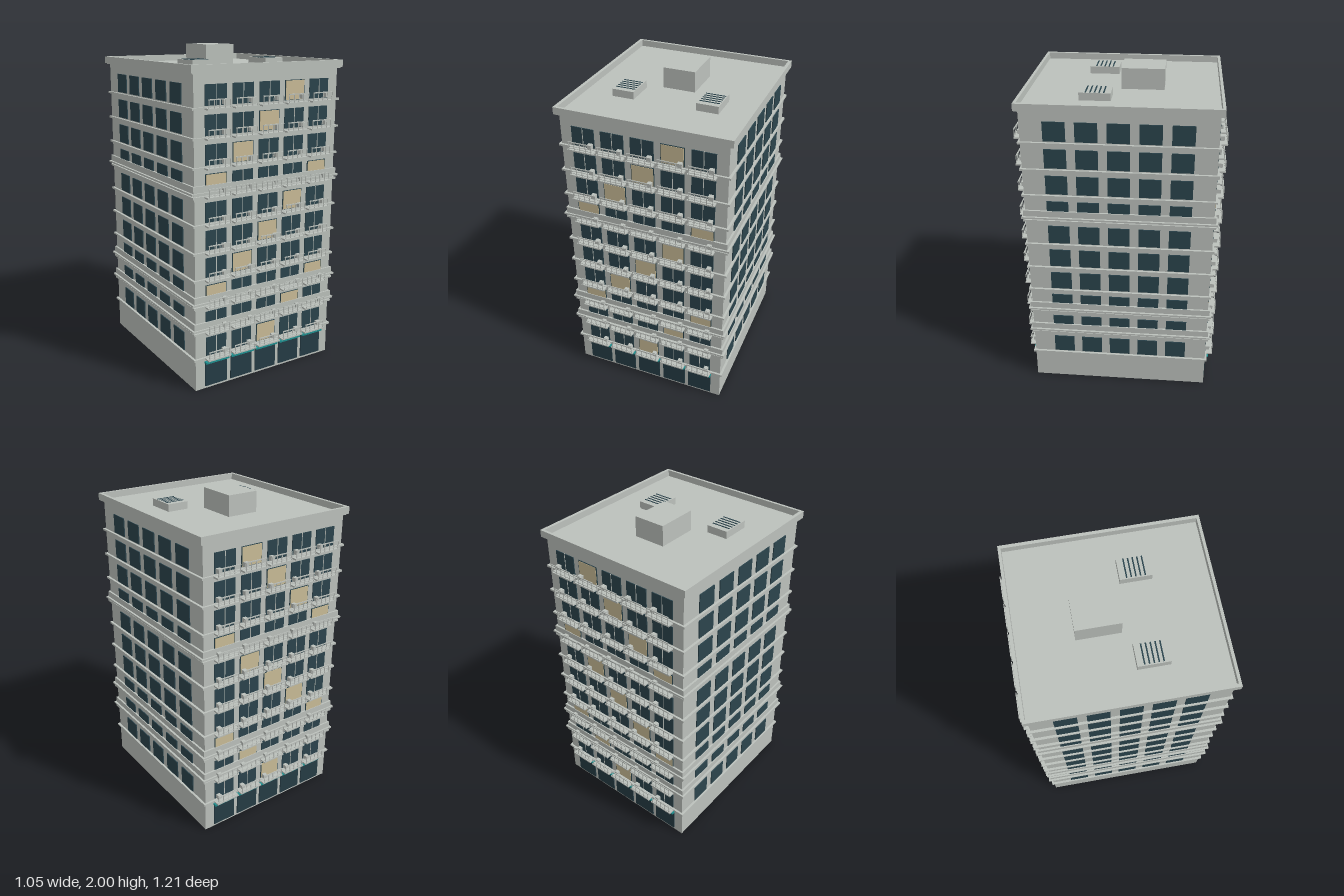
import * as THREE from 'three';
import { mergeGeometries } from 'three/addons/utils/BufferGeometryUtils.js';

const material = (name, color) => {
  const m = new THREE.MeshStandardMaterial({ color });
  m.name = name;
  return m;
};

// Box given by its extents along each axis
function box(x0, x1, y0, y1, z0, z1) {
  return new THREE.BoxGeometry(x1 - x0, y1 - y0, z1 - z0)
    .translate((x0 + x1) / 2, (y0 + y1) / 2, (z0 + z1) / 2);
}
// Box centred on the tower axis
const slab = (hx, hz, y0, y1) => box(-hx, hx, y0, y1, -hz, hz);

export function createModel() {
  const group = new THREE.Group();
  const wall = material('pale concrete', 0xbcc1bc);
  const glass = material('dark glass', 0x2b444d);
  const shop = material('shop glass', 0x253c45);
  const lit = material('lit blind', 0xcabc97);
  const teal = material('teal awning', 0x1f9090);

  const add = (name, mat, geometries) => {
    const mesh = new THREE.Mesh(mergeGeometries(geometries), mat);
    mesh.name = name;
    group.add(mesh);
  };

  const HX = 0.5, HZ = 0.555, ROOF = 1.875;
  const columns = [-0.36, -0.18, 0, 0.18, 0.36];
  const floors = Array.from({ length: 10 }, (_, i) => 0.2 + 0.1645 * i);
  const banded = [1, 2, 6];
  const litColumns = [[2], [3], [0, 4], [1]]; // repeats every four floors

  add('towerWalls', wall, [slab(HX, HZ, 0, ROOF)]);

  // Floor ledges, plus deep fascia bands on some floors
  add('floorLedges', wall, floors.map(y => slab(0.515, 0.568, y - 0.006, y + 0.006)));
  add('fasciaBands', wall, banded.flatMap(i => [
    slab(0.512, 0.566, floors[i] + 0.018, floors[i] + 0.066),
    slab(0.525, 0.576, floors[i] + 0.017, floors[i] + 0.028),
  ]));

  // Cornice and hollow parapet
  const parapet = [slab(0.515, 0.568, 1.866, ROOF)];
  for (const s of [-1, 1]) {
    parapet.push(box(s > 0 ? 0.505 : -0.525, s > 0 ? 0.525 : -0.505, 1.872, 1.915, -0.577, 0.577));
    parapet.push(box(-0.505, 0.505, 1.872, 1.915, s > 0 ? 0.56 : -0.577, s > 0 ? 0.577 : -0.56));
  }
  add('parapet', wall, parapet);

  // Roof house and two ventilation units
  add('roofHouse', wall, [box(-0.1, 0.1, ROOF, 2, -0.235, 0.02)]);
  const vents = [], slats = [];
  for (const x of [-0.258, 0.258]) {
    vents.push(box(x - 0.067, x + 0.067, ROOF, 1.92, 0.06, 0.243));
    for (let k = 0; k < 5; k++) {
      const z = 0.1 + k * 0.026;
      slats.push(box(x - 0.06, x + 0.06, 1.918, 1.922, z - 0.004, z + 0.004));
    }
  }
  add('roofVents', wall, vents);
  add('roofVentSlats', glass, slats);

  // Side windows
  const sideWindows = [];
  for (const y of floors) for (const z of columns) for (const s of [-1, 1]) {
    sideWindows.push(box(-0.004, 0.004, y + 0.013, y + 0.129, z - 0.064, z + 0.064)
      .translate(s * 0.502, 0, 0));
  }
  add('sideWindows', glass, sideWindows);

  // Front and back: windows, balconies and shops share one layout
  const panes = [], mullions = [], blinds = [], decks = [], rails = [], units = [];
  const shops = [], awnings = [];
  for (const s of [-1, 1]) {
    const put = (list, x0, x1, y0, y1, z0, z1) =>
      list.push(box(x0, x1, y0, y1, Math.min(s * z0, s * z1), Math.max(s * z0, s * z1)));
    columns.forEach((x, c) => {
      floors.forEach((y, f) => {
        put(panes, x - 0.07, x + 0.07, y + 0.013, y + 0.129, HZ - 0.002, HZ + 0.005);
        if (litColumns[f % 4].includes(c)) {
          put(blinds, x - 0.066, x + 0.066, y + 0.015, y + 0.126, HZ, HZ + 0.007);
        } else {
          put(mullions, x - 0.002, x + 0.002, y + 0.013, y + 0.129, HZ, HZ + 0.007);
        }
        // Balcony deck with railing
        put(decks, x - 0.08, x + 0.08, y - 0.006, y + 0.003, HZ, 0.605);
        put(rails, x - 0.074, x + 0.074, y + 0.047, y + 0.053, 0.599, 0.604);
        put(rails, x - 0.074, x + 0.074, y + 0.011, y + 0.014, 0.6, 0.603);
        for (let k = 0; k < 5; k++) {
          const px = x - 0.07 + k * 0.035;
          put(rails, px - 0.002, px + 0.002, y, y + 0.05, 0.6, 0.604);
        }
        // Cooling unit on the deck
        put(units, x + 0.036, x + 0.062, y + 0.018, y + 0.043, HZ, 0.585);
      });
      put(shops, x - 0.077, x + 0.077, 0.015, 0.172, HZ - 0.002, HZ + 0.006);
      put(awnings, x - 0.08, x + 0.08, 0.167, 0.178, HZ, 0.58);
    });
  }
  add('balconyWindows', glass, panes);
  add('windowMullions', wall, mullions);
  add('litBlinds', lit, blinds);
  add('balconyDecks', wall, decks);
  add('balconyRails', wall, rails);
  add('coolingUnits', wall, units);
  add('shopFronts', shop, shops);
  add('shopAwnings', teal, awnings);

  return group;
}
